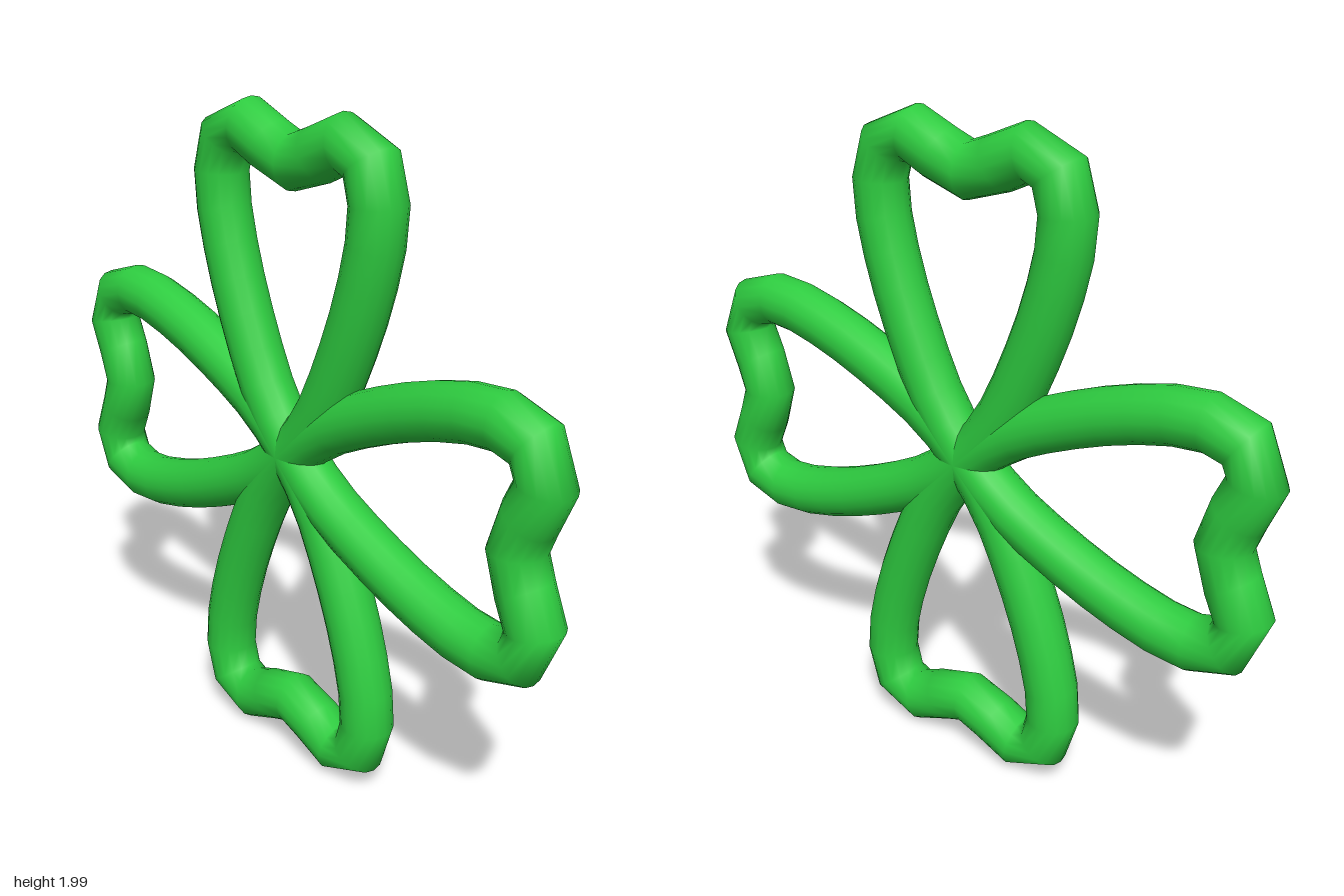
import * as THREE from 'three';

// Half of one petal's centre line, from notch to clover centre: [along axis, sideways]
const HALF = [
  [0.84, 0], [0.853, 0.06], [0.888, 0.13], [0.916, 0.21], [0.885, 0.284],
  [0.81, 0.318], [0.7, 0.318], [0.52, 0.275], [0.31, 0.195], [0.14, 0.11],
];
const TUBE_RADIUS = 0.08;

export function createModel() {
  const group = new THREE.Group();
  group.name = 'clover';
  const green = new THREE.MeshStandardMaterial({ color: 0x2ecc40 });
  green.name = 'leaf green';

  // Whole petal, from one side of the centre round the notch and back
  const petal = [
    [0, 0],
    ...HALF.slice().reverse().map(([a, s]) => [a, -s]),
    ...HALF.slice(1),
  ];

  // One endless loop passing straight through the centre between petals
  const points = [];
  for (const quarter of [0, 3, 2, 1]) {
    const angle = quarter * Math.PI / 2;
    const c = Math.cos(angle), n = Math.sin(angle);
    for (const [a, s] of petal) {
      points.push(new THREE.Vector3(a * c - s * n, 1 + a * n + s * c, 0));
    }
  }

  const path = new THREE.CatmullRomCurve3(points, true, 'centripetal');
  path.arcLengthDivisions = 800;
  const loop = new THREE.Mesh(new THREE.TubeGeometry(path, 96, TUBE_RADIUS, 16, true), green);
  loop.name = 'petalLoop';
  group.add(loop);
  return group;
}
